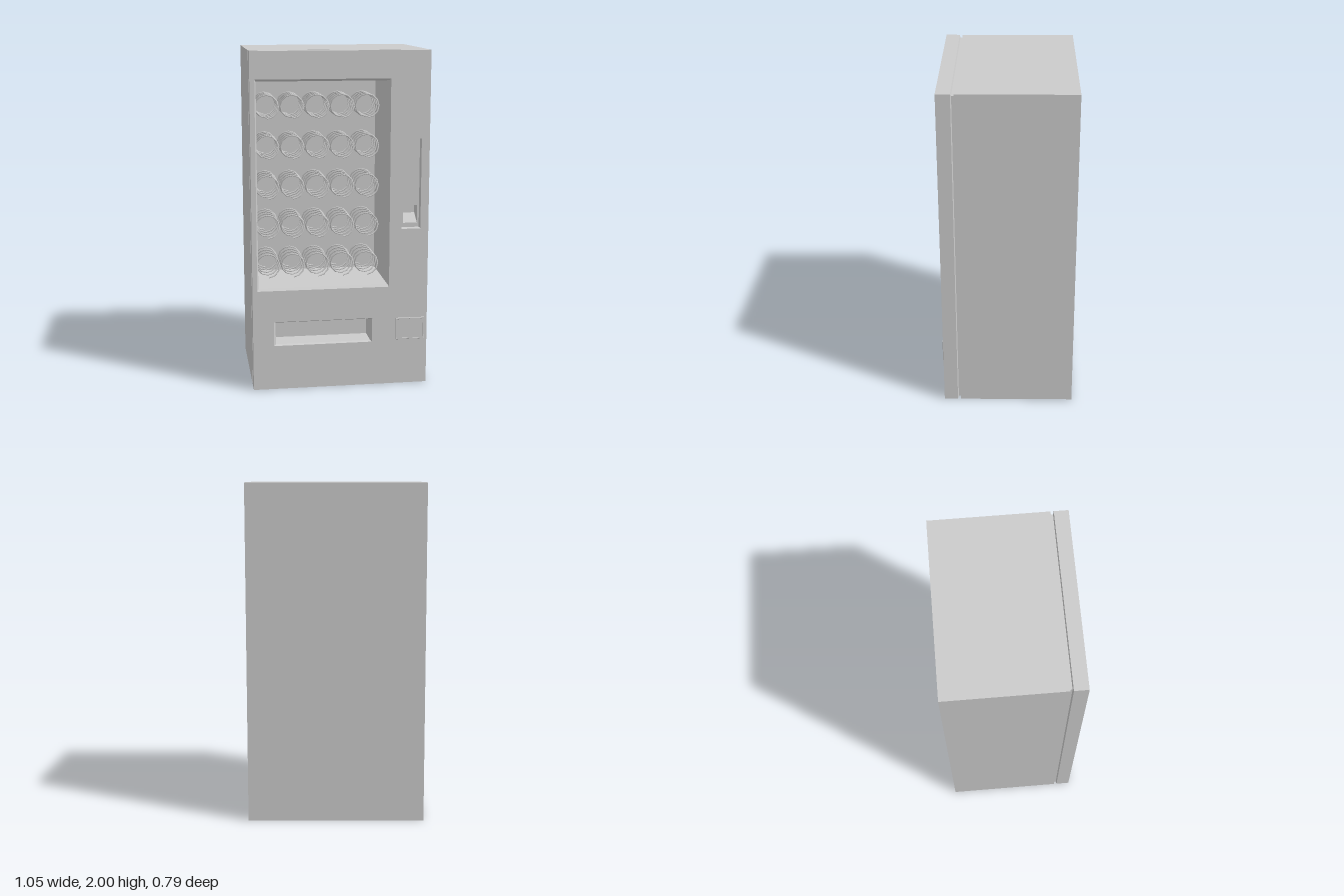
import * as THREE from 'three';

const grey = new THREE.MeshStandardMaterial({ color: 0xcccccc });
const corners = ([x0, x1, y0, y1, z]) => [[x0, y0, z], [x1, y0, z], [x1, y1, z], [x0, y1, z]];

function mesh(name, geometry) {
  const m = new THREE.Mesh(geometry, grey);
  m.name = name;
  return m;
}

// Joins rectangles [x0, x1, y0, y1, z]: back to front gives an outer shell, front to back a recess
function shell(name, loops, { capFirst = false, capLast = false } = {}) {
  const pos = [];
  const quad = (a, b, c, d) => pos.push(...a, ...b, ...c, ...a, ...c, ...d);
  for (let k = 0; k + 1 < loops.length; k++) {
    const a = corners(loops[k]), b = corners(loops[k + 1]);
    for (let i = 0; i < 4; i++) {
      const j = (i + 1) % 4;
      quad(a[i], a[j], b[j], b[i]);
    }
  }
  if (capFirst) quad(...corners(loops[0]).reverse());
  if (capLast) quad(...corners(loops[loops.length - 1]));
  const g = new THREE.BufferGeometry();
  g.setAttribute('position', new THREE.Float32BufferAttribute(pos, 3));
  g.computeVertexNormals();
  return mesh(name, g);
}

// Flat front-facing panel with rectangular openings
function panel(name, rect, holes) {
  const points = (r) => corners(r).map(([x, y]) => new THREE.Vector2(x, y));
  const shape = new THREE.Shape(points(rect));
  for (const h of holes) shape.holes.push(new THREE.Path(points(h).reverse()));
  return mesh(name, new THREE.ShapeGeometry(shape).translate(0, 0, rect[4]));
}

class Helix extends THREE.Curve {
  constructor(radius, turns, front, back) {
    super();
    Object.assign(this, { radius, turns, front, back });
  }
  getPoint(t, out = new THREE.Vector3()) {
    const a = t * this.turns * Math.PI * 2 - Math.PI / 2;
    return out.set(Math.cos(a) * this.radius, Math.sin(a) * this.radius,
      THREE.MathUtils.lerp(this.front, this.back, t));
  }
}

export function createModel() {
  const model = new THREE.Group();
  model.name = 'vendingMachine';
  const W = 0.523, F = 0.39;
  const full = (z, inset = 0) => [-W + inset, W - inset, inset, 2 - inset, z];

  // Cabinet, door seam and door edge
  model.add(shell('cabinet', [full(-0.393), full(0.29), full(0.29, 0.013)], { capFirst: true }));
  model.add(shell('doorSeam', [full(0.29, 0.013), full(0.303, 0.013)]));
  model.add(shell('doorEdge', [full(0.303, 0.013), full(0.308), full(F)]));

  // Door face with its three openings
  const windowRect = [-0.495, 0.29, 0.605, 1.84, F];
  const slotRect = [-0.4, 0.19, 0.268, 0.415, F];
  const controlRect = [0.36, 0.475, 0.955, 1.49, F];
  model.add(panel('doorFace', full(F), [windowRect, slotRect, controlRect]));

  // Display compartment behind the window
  model.add(shell('displayCompartment', [
    windowRect,
    [-0.487, 0.282, 0.618, 1.828, 0.378],
    [-0.487, 0.282, 0.618, 1.828, -0.06],
  ], { capLast: true }));

  // Delivery slot
  model.add(shell('deliverySlot', [
    slotRect,
    [-0.388, 0.18, 0.274, 0.408, 0.375],
    [-0.388, 0.18, 0.274, 0.408, 0.24],
  ], { capLast: true }));

  // Payment panel with a small pocket that has a sloped floor
  const controlBack = [0.364, 0.471, 0.959, 1.486, 0.36];
  const pocket = [0.376, 0.46, 0.985, 1.09, 0.36];
  model.add(shell('paymentRecess', [controlRect, controlBack]));
  model.add(panel('paymentPanel', controlBack, [pocket]));
  model.add(shell('paymentPocket', [pocket, [0.38, 0.456, 1.035, 1.085, 0.3]], { capLast: true }));

  // Coin return flap
  model.add(shell('coinReturn', [
    [0.332, 0.508, 0.275, 0.41, F],
    [0.334, 0.506, 0.277, 0.408, 0.394],
    [0.34, 0.5, 0.283, 0.402, 0.394],
    [0.341, 0.499, 0.284, 0.401, 0.392],
  ], { capLast: true }));

  // Five rows of five product coils
  const coilGeometry = new THREE.TubeGeometry(new Helix(0.068, 4, 0.2, -0.06), 48, 0.0045, 5);
  const coils = new THREE.Group();
  coils.name = 'productCoils';
  for (let row = 0; row < 5; row++) {
    for (let col = 0; col < 5; col++) {
      const coil = mesh('coil', coilGeometry);
      coil.position.set(-0.41 + col * 0.15, 0.705 + row * 0.24, 0);
      coils.add(coil);
    }
  }
  model.add(coils);
  return model;
}
